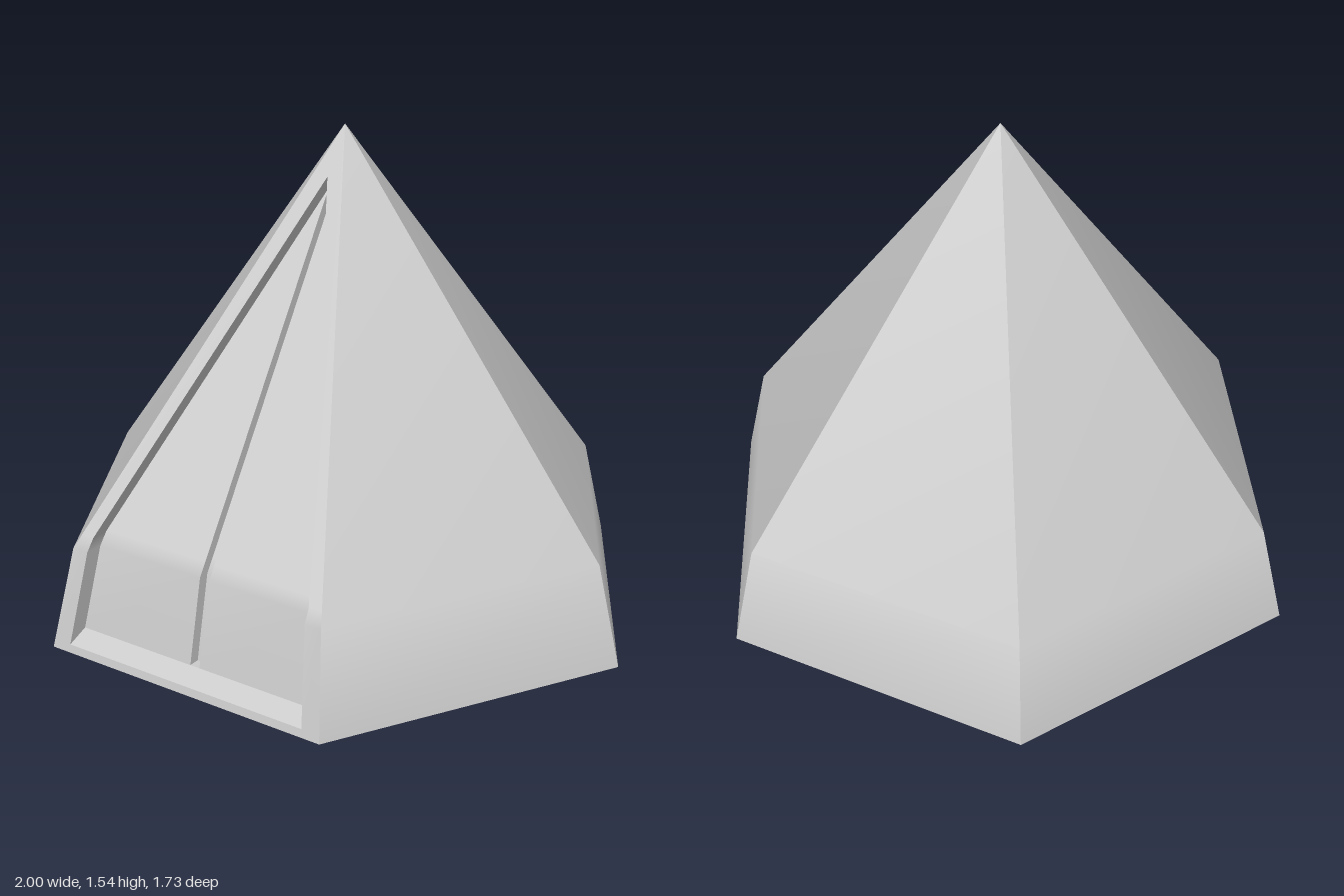
import * as THREE from 'three';

const APEX = 1.545, KINK = 0.32, KINK_R = 0.92, COS30 = Math.sqrt(3) / 2;
const PANEL_DEPTH = 0.06, SLIT_DEPTH = 0.095, SLIT_X = 0.017;

const material = new THREE.MeshStandardMaterial({ color: 0xcccccc });
const openMaterial = new THREE.MeshStandardMaterial({ color: 0xcccccc, side: THREE.DoubleSide });

// Depth of the front wall at height y
function wallZ(y) {
  const r = y < KINK
    ? 1 - (1 - KINK_R) * y / KINK
    : KINK_R * (APEX - y) / (APEX - KINK);
  return r * COS30;
}

// Point on the front wall, pushed inwards by depth
const onWall = (x, y, depth = 0) => [x, y, wallZ(y) - depth];
const mirrored = (points) => points.map(([x, y, z]) => [-x, y, z]);

// Surface between two polylines, smooth along its length
function strip(name, a, b, mat = openMaterial) {
  const index = [];
  const n = a.length;
  for (let i = 0; i < n - 1; i++) {
    index.push(i, n + i, n + i + 1, i, n + i + 1, i + 1);
  }
  const geometry = new THREE.BufferGeometry();
  geometry.setAttribute('position', new THREE.Float32BufferAttribute([...a, ...b].flat(), 3));
  geometry.setIndex(index);
  geometry.computeVertexNormals();
  const mesh = new THREE.Mesh(geometry, mat);
  mesh.name = name;
  return mesh;
}

export function createModel() {
  const tent = new THREE.Group();
  tent.name = 'hexagonalTent';

  // Five plain walls; the front (side 1) is built separately
  const ridge = (i) => [[1, 0], [KINK_R, KINK], [0, APEX]].map(([r, y]) => [
    r * Math.cos(i * Math.PI / 3), y, r * Math.sin(i * Math.PI / 3)]);
  for (const i of [0, 2, 3, 4, 5]) {
    tent.add(strip('wall', ridge(i + 1), ridge(i), material));
  }

  // Ground sheet
  const floor = new THREE.Mesh(new THREE.CircleGeometry(1, 6).rotateX(Math.PI / 2), material);
  floor.name = 'groundSheet';
  tent.add(floor);

  const front = new THREE.Group();
  front.name = 'entrance';
  tent.add(front);

  // Both halves of a symmetrical surface
  const addPair = (name, a, b) => front.add(
    strip(name + 'Left', a, b),
    strip(name + 'Right', mirrored(b), mirrored(a)));

  // Frame around the opening
  const outer = [[0.5, 0], [0.46, KINK], [0.445, 0.36], [0, APEX]];
  const inner = [[0.435, 0.025], [0.404, KINK], [0.4, 0.36], [0, 1.4]];
  const place = (points, depth) => points.map(([x, y]) => onWall(x, y, depth));
  addPair('frameSide', place(inner), place(outer));
  const row = (x, y, depth) => [onWall(-x, y, depth), onWall(x, y, depth)];
  front.add(strip('frameBottom', row(0.435, 0.025), row(0.5, 0)));

  // Reveals and sloping sill of the recess
  addPair('reveal', place(inner, SLIT_DEPTH), place(inner));
  front.add(strip('sill', row(0.432, 0.055, PANEL_DEPTH), row(0.435, 0.025)));

  // Door flaps, parted by a narrow slit
  const flapEdge = [[0.432, 0.055], [0.404, KINK], [0.4, 0.36], [SLIT_X, 1.356]];
  const slitEdge = flapEdge.map(([, y]) => [SLIT_X, y]);
  addPair('doorFlap', place(slitEdge, PANEL_DEPTH), place(flapEdge, PANEL_DEPTH));
  addPair('slitSide', place(slitEdge, SLIT_DEPTH), place(slitEdge, PANEL_DEPTH));

  // Back and floor of the slit
  const slitBack = place([...slitEdge, [0, 1.4]], SLIT_DEPTH);
  front.add(strip('slitBack', mirrored(slitBack), slitBack));
  front.add(strip('slitFloor', row(SLIT_X, 0.055, SLIT_DEPTH), row(SLIT_X, 0.055, PANEL_DEPTH)));

  return tent;
}
